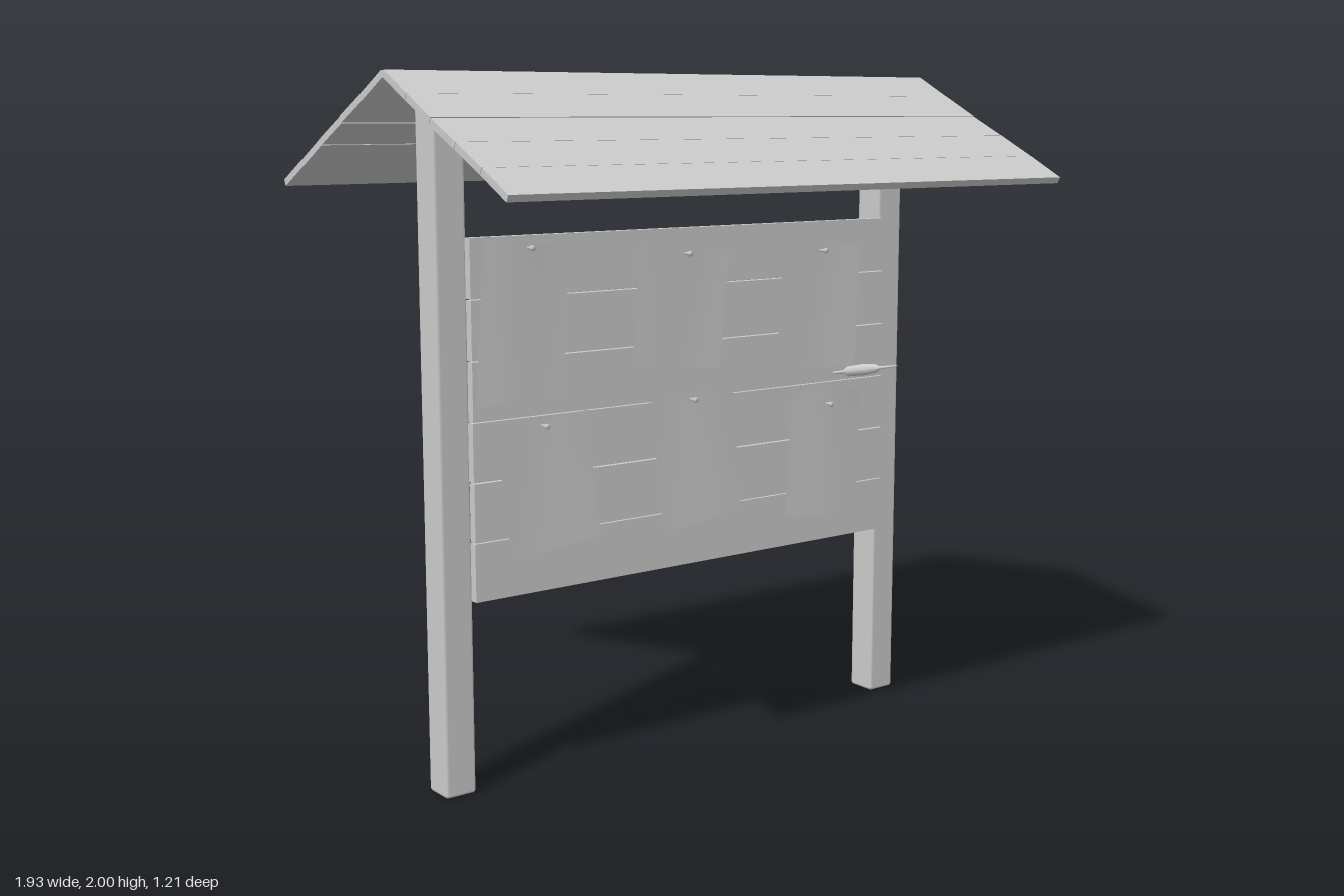
import * as THREE from 'three';
import { RoundedBoxGeometry } from 'three/addons/geometries/RoundedBoxGeometry.js';

export function createModel() {
  const model = new THREE.Group();
  model.name = 'noticeBoard';
  const grey = new THREE.MeshStandardMaterial({ color: 0xcccccc });
  grey.name = 'plainGrey';
  const greySheet = grey.clone();
  greySheet.side = THREE.DoubleSide;

  const add = (parent, name, geometry, x = 0, y = 0, z = 0, material = grey) => {
    const mesh = new THREE.Mesh(geometry, material);
    mesh.name = name;
    mesh.position.set(x, y, z);
    parent.add(mesh);
    return mesh;
  };

  // Two bevelled posts
  for (const side of [-1, 1]) {
    add(model, side > 0 ? 'leftPost' : 'rightPost',
      new RoundedBoxGeometry(0.097, 1.94, 0.097, 1, 0.01), side * 0.803, 0.97, 0.002);
  }

  // Backboard of six horizontal planks, slightly uneven
  const boards = new THREE.Group();
  boards.name = 'backboard';
  model.add(boards);
  const pitch = 0.1675;
  for (let i = 0; i < 6; i++) {
    add(boards, 'boardPlank', new THREE.BoxGeometry(1.52, pitch - 0.003, 0.025),
      0, 0.555 + pitch * (i + 0.5), 0.0635 + 0.0015 * Math.sin(i * 2.3));
  }

  // Gable roof: five planks on each slope
  const run = 0.6, drop = 0.3, slope = Math.atan2(drop, run);
  const plankWidth = Math.hypot(run, drop) / 5;
  for (const side of [-1, 1]) {
    const roof = new THREE.Group();
    roof.name = side > 0 ? 'frontRoof' : 'backRoof';
    roof.position.set(0, 1.988, side * 0.002);
    roof.rotation.x = side * slope;
    model.add(roof);
    for (let i = 0; i < 5; i++) {
      const plank = add(roof, 'roofPlank', new THREE.BoxGeometry(1.935, 0.02, plankWidth - 0.002),
        0, 0.001 * Math.sin(i * 2 + side), side * plankWidth * (i + 0.5));
      plank.rotation.x = 0.015 * Math.sin(i * 1.7 + side);
    }
  }

  // Pinned notices: corners (top left, top right, bottom right, bottom left) and pin
  const notices = [
    [[-0.72, 1.555], [-0.44, 1.525], [-0.475, 1.105], [-0.755, 1.1], [-0.58, 1.525]],
    [[-0.205, 1.525], [0.125, 1.485], [0.085, 1.14], [-0.235, 1.17], [-0.04, 1.485]],
    [[0.33, 1.505], [0.648, 1.485], [0.625, 1.1], [0.31, 1.12], [0.485, 1.47]],
    [[-0.69, 1.035], [-0.39, 1.06], [-0.35, 0.69], [-0.65, 0.66], [-0.54, 1.03]],
    [[-0.165, 1.06], [0.135, 1.09], [0.17, 0.7], [-0.12, 0.665], [-0.02, 1.055]],
    [[0.375, 1.04], [0.66, 1.03], [0.645, 0.63], [0.35, 0.645], [0.515, 0.99]],
  ];
  notices.forEach(([tl, tr, br, bl, pin], n) => {
    // Sheet with a gentle curl
    const sheet = new THREE.PlaneGeometry(1, 1, 8, 8);
    const p = sheet.attributes.position;
    for (let i = 0; i < p.count; i++) {
      const u = p.getX(i) + 0.5, v = 0.5 - p.getY(i);
      const mix = k => THREE.MathUtils.lerp(
        THREE.MathUtils.lerp(tl[k], tr[k], u), THREE.MathUtils.lerp(bl[k], br[k], u), v);
      p.setXYZ(i, mix(0), mix(1), 0.081 + 0.002 * Math.sin(u * 5 + n) + 0.004 * v * v);
    }
    sheet.computeVertexNormals();
    add(model, 'notice', sheet, 0, 0, 0, greySheet);

    // Pin with a waisted stem and flat head
    const profile = [[0, -0.012], [0.004, -0.012], [0.004, 0.01], [0.008, 0.012], [0.008, 0.021], [0, 0.021]]
      .map(([r, y]) => new THREE.Vector2(r, y));
    const pinMesh = add(model, 'pin', new THREE.LatheGeometry(profile, 10), pin[0], pin[1], 0.088);
    pinMesh.rotation.x = Math.PI / 2;
  });

  // Slim pen hovering in front of the board
  const penProfile = [[0, -0.11], [0.004, -0.105], [0.006, -0.07], [0.016, -0.055], [0.018, 0],
    [0.014, 0.035], [0.005, 0.05], [0.003, 0.1], [0, 0.11]]
    .map(([r, y]) => new THREE.Vector2(r, y));
  const pen = add(model, 'pen', new THREE.LatheGeometry(penProfile, 10), 0.497, 1.12, 0.272);
  pen.quaternion.setFromUnitVectors(new THREE.Vector3(0, 1, 0),
    new THREE.Vector3(0.08, 0.037, 0.195).normalize());

  return model;
}
